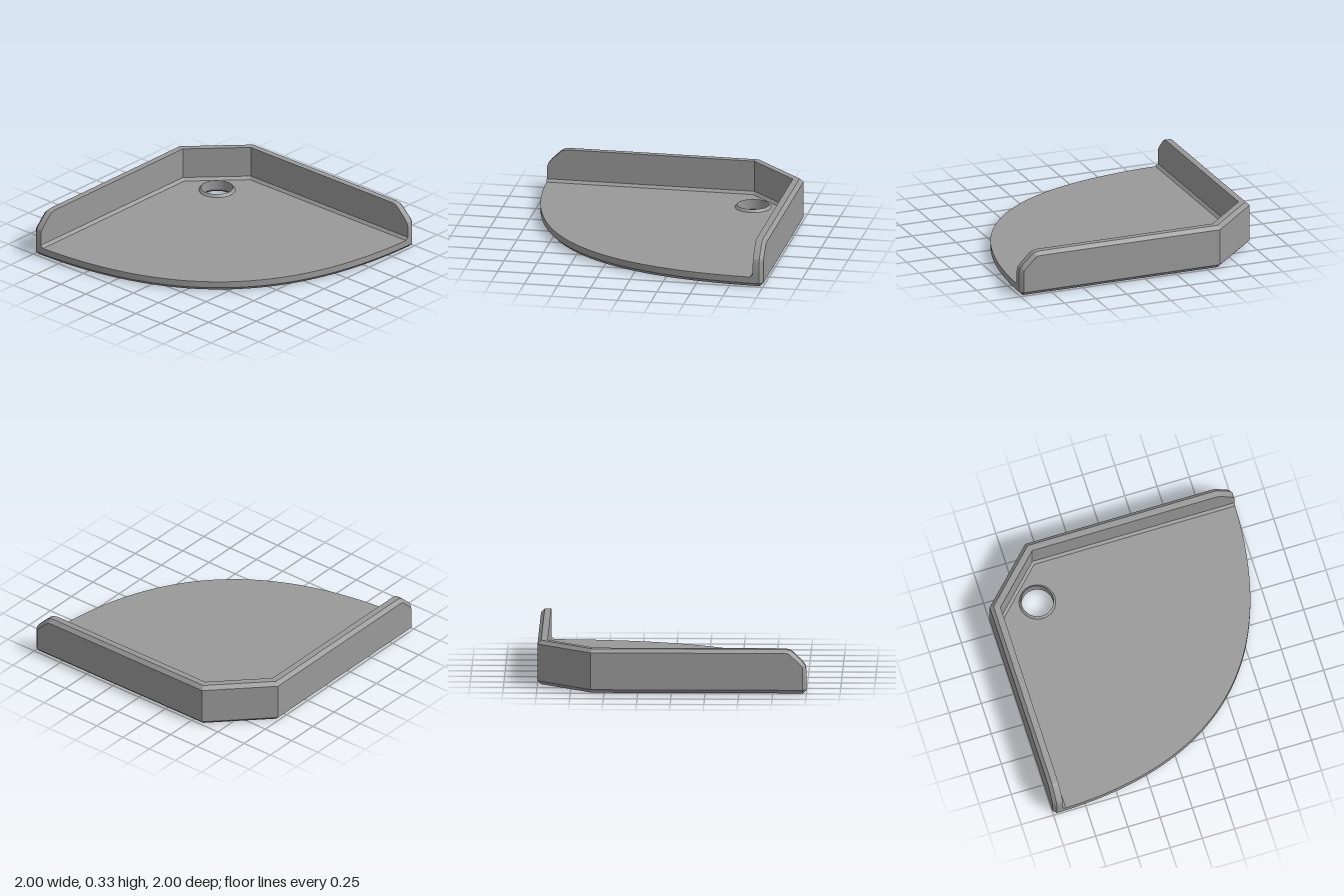
import * as THREE from 'three';
import { toCreasedNormals } from 'three/addons/utils/BufferGeometryUtils.js';

const C = 0.027;      // edge chamfer
const FLOOR = 0.075;  // top of the plate
const FILLET = 0.02;  // bevel where wall meets plate
const THICK = 0.075;  // wall thickness
const HOLE = { x: 0.615, z: -0.625, r: 0.12 };

// Skin consecutive rows of [x, y, z] points
function loft(rows, closed = false) {
  const pos = [];
  const n = rows[0].length;
  for (let r = 0; r < rows.length - 1; r++) {
    for (let i = 0; i < (closed ? n : n - 1); i++) {
      const j = (i + 1) % n;
      const a = rows[r][i], b = rows[r][j], c = rows[r + 1][j], d = rows[r + 1][i];
      pos.push(...a, ...b, ...c, ...a, ...c, ...d);
    }
  }
  const g = new THREE.BufferGeometry();
  g.setAttribute('position', new THREE.Float32BufferAttribute(pos, 3));
  return toCreasedNormals(g, 0.3);
}

// Flat cap with the drain hole cut out
function cap(points, y, holeRadius, up) {
  const s = up ? -1 : 1;
  const shape = new THREE.Shape(points.map(([x, z]) => new THREE.Vector2(x, s * z)));
  const hole = new THREE.Path();
  hole.absarc(HOLE.x, s * HOLE.z, holeRadius, 0, Math.PI * 2, true);
  shape.holes.push(hole);
  return new THREE.ShapeGeometry(shape, 24).rotateX(s * Math.PI / 2).translate(0, y, 0);
}

export function createModel() {
  const group = new THREE.Group();
  group.name = 'cornerShelf';
  const grey = new THREE.MeshStandardMaterial({ color: 0x999999 });
  grey.name = 'grey';
  const add = (name, geometry, parent = group) => {
    const mesh = new THREE.Mesh(geometry, grey);
    mesh.name = name;
    parent.add(mesh);
    return mesh;
  };

  // Plate outline: two straight sides, cut corner and a parabolic front edge
  const outline = [[-1 + C, -1], [0.6, -1], [1, -0.6], [1, 1 - C]];
  const inset = [[-1 + C, -1 + C], [0.6 - 0.414 * C, -1 + C], [1 - C, -0.6 + 0.414 * C], [1 - C, 1 - C]];
  const t0 = C / 4, steps = 64;
  for (let i = 0; i <= steps; i++) {
    const t = 1 - t0 - (1 - 2 * t0) * i / steps;
    const x = -1 + 2 * t * t, z = -1 + 2 * (2 * t - t * t);
    const len = Math.hypot(t, 1 - t);
    outline.push([x, z]);
    inset.push([x + C * (1 - t) / len, z - C * t / len]);
  }
  const ring = (pts, y) => pts.map(([x, z]) => [x, y, z]);

  const plate = new THREE.Group();
  plate.name = 'plate';
  group.add(plate);
  add('plateTop', cap(outline, FLOOR, HOLE.r + 0.016, true), plate);
  add('plateBottom', cap(inset, 0, HOLE.r + 0.017, false), plate);
  add('plateEdge', loft([ring(outline, FLOOR), ring(outline, C), ring(inset, 0)], true), plate);

  // Drain hole with a raised rim above and a chamfer below
  const holeProfile = [[HOLE.r + 0.016, FLOOR], [HOLE.r, FLOOR + FILLET], [HOLE.r, 0.017], [HOLE.r + 0.017, 0]]
    .map(([r, y]) => new THREE.Vector2(r, y));
  const hole = add('drainHole', toCreasedNormals(new THREE.LatheGeometry(holeProfile, 48), 0.4));
  hole.position.set(HOLE.x, 0, HOLE.z);

  // Wall end profile: [distance from end, height] and its chamfered inset
  const profile = [[0, FLOOR], [0, 0.18], [0.009, 0.212], [0.03, 0.24], [0.1, 0.308], [0.125, 0.324], [0.16, 0.33]];
  const inner = [[C, FLOOR], [C, 0.19], [0.032, 0.204], [0.045, 0.217], [0.12, 0.29], [0.135, 0.3], [0.16, 0.33 - C]];
  const half = profile.map(([u, h], i) => ({ u, h, ui: inner[i][0], hi: inner[i][1] }));
  half.push({ corner: true, h: 0.33, hi: 0.33 - C });
  const stations = [
    ...half.map((s) => ({ ...s, mirror: false })),
    ...half.map((s) => ({ ...s, mirror: true })).reverse(),
  ];

  // Place a station at depth d from the outside; the second half mirrors the first
  const place = (s, d, y, u) => {
    const x = s.corner ? 0.6 - 0.414 * d : -1 + u;
    const z = -1 + d;
    return s.mirror ? [-z, y, -x] : [x, y, z];
  };
  const row = (f) => stations.map((s) => place(s, ...f(s)));
  add('wall', loft([
    row((s) => [THICK + FILLET, FLOOR, s.u]),
    row((s) => [THICK, Math.min(FLOOR + FILLET, s.h), s.u]),
    row((s) => [THICK, s.h, s.u]),
    row((s) => [C, s.h, s.u]),
    row((s) => [0, s.hi, s.ui]),
    row((s) => [0, FLOOR, s.ui]),
  ]));

  return group;
}
